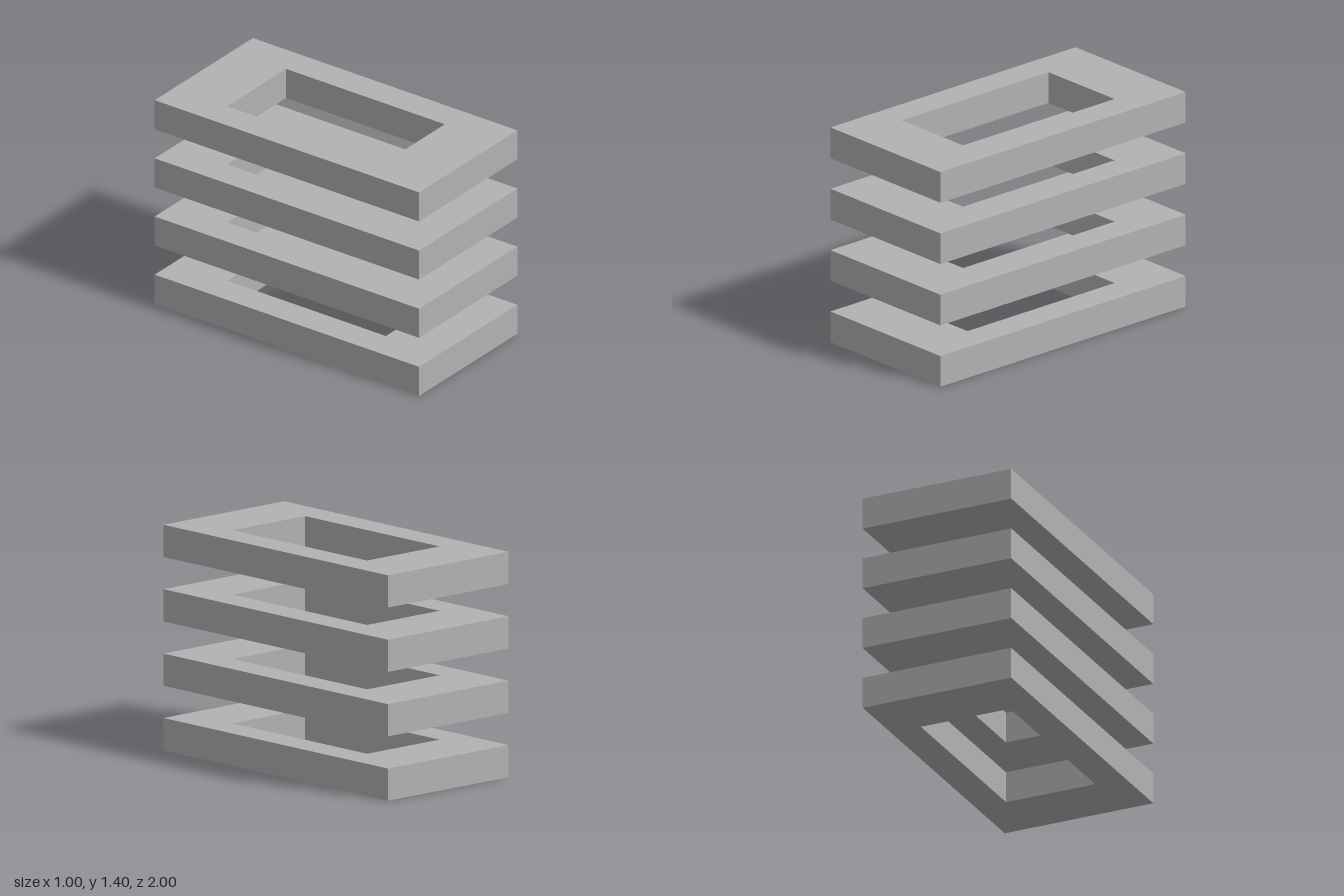
import * as THREE from 'three';

const WIDTH = 1, LENGTH = 2, THICKNESS = 0.2, SPACING = 0.4, COUNT = 4;
const HOLE_WIDTH = 0.6, HOLE_LENGTH = 1.2;

// Corners of a centred rectangle
function rectangle(w, l) {
  return [[-1, -1], [1, -1], [1, 1], [-1, 1]].map(
    ([x, y]) => new THREE.Vector2(x * w / 2, y * l / 2));
}

export function createModel() {
  const model = new THREE.Group();
  model.name = 'stackedFrames';

  const grey = new THREE.MeshStandardMaterial({ color: 0xb2b2b2 });
  grey.name = 'grey';

  // Flat rectangular frame with an open centre, laid on its base
  const outline = new THREE.Shape(rectangle(WIDTH, LENGTH));
  outline.holes.push(new THREE.Path(rectangle(HOLE_WIDTH, HOLE_LENGTH).reverse()));
  const frame = new THREE.ExtrudeGeometry(outline, { depth: THICKNESS, bevelEnabled: false });
  frame.rotateX(-Math.PI / 2);

  // Evenly spaced stack of identical frames
  for (let i = 0; i < COUNT; i++) {
    const mesh = new THREE.Mesh(frame, grey);
    mesh.name = `frame${i + 1}`;
    mesh.position.y = i * SPACING;
    model.add(mesh);
  }
  return model;
}
